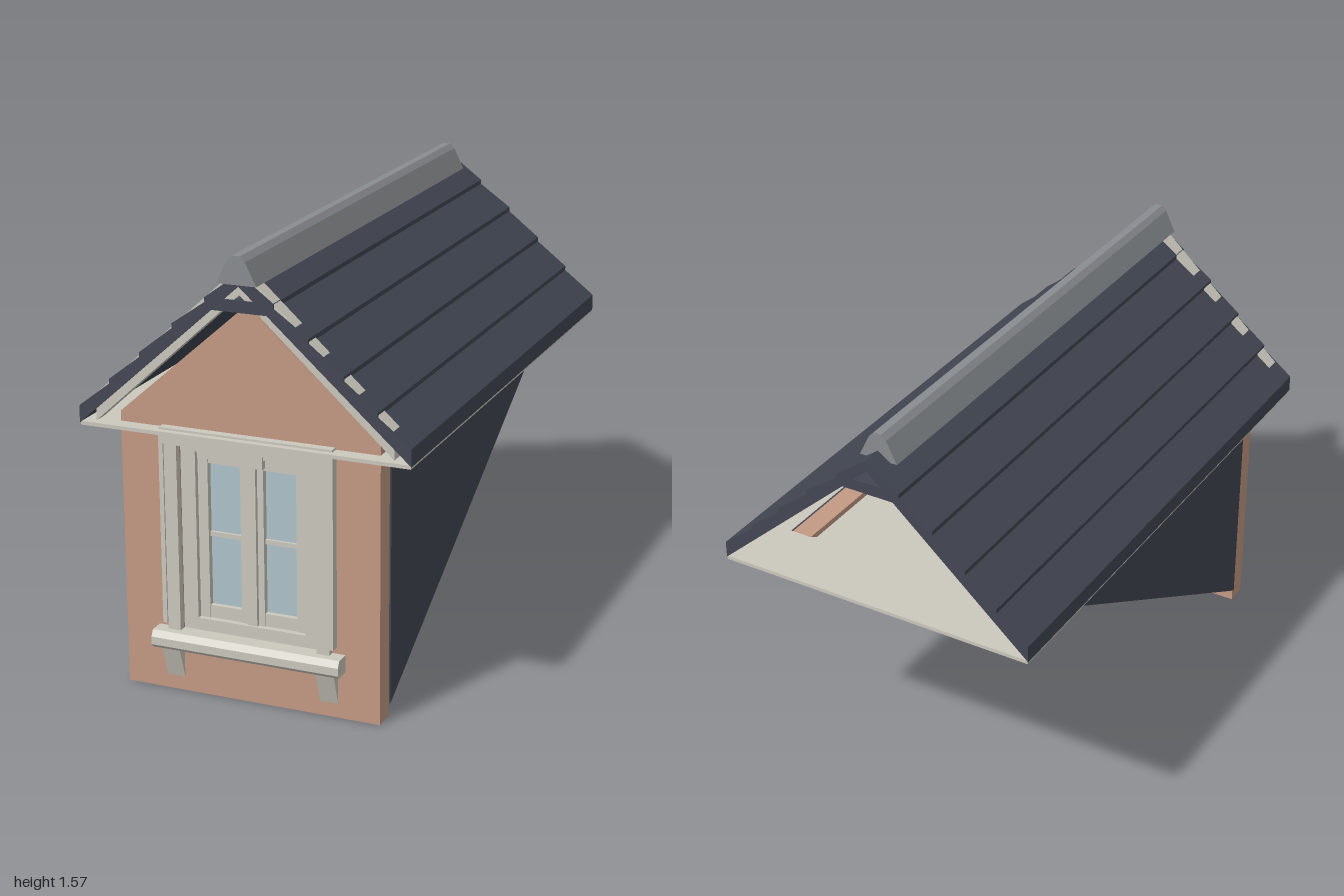
import * as THREE from 'three';

const mat = (name, color) => {
  const m = new THREE.MeshStandardMaterial({ color });
  m.name = name;
  return m;
};

export function createModel() {
  const group = new THREE.Group();
  group.name = 'dormer';
  const plaster = mat('terracotta plaster', 0xc49a84);
  const cream = mat('cream paint', 0xcbc8bd);
  const slate = mat('dark slate', 0x434753);
  const lead = mat('grey ridge', 0x898c90);
  const glass = mat('pale blue glass', 0xb0c3cb);

  const add = (name, geo, material) => {
    const mesh = new THREE.Mesh(geo, material);
    mesh.name = name;
    group.add(mesh);
    return mesh;
  };
  // box given by its limits
  const box = (name, material, x0, x1, y0, y1, z0, z1) => {
    const g = new THREE.BoxGeometry(x1 - x0, y1 - y0, z1 - z0);
    g.translate((x0 + x1) / 2, (y0 + y1) / 2, (z0 + z1) / 2);
    return add(name, g, material);
  };
  const pair = (name, material, x0, x1, ...rest) => {
    box(name + 'Left', material, x0, x1, ...rest);
    box(name + 'Right', material, -x1, -x0, ...rest);
  };
  const shape = (pts) => new THREE.Shape(pts.map(([x, y]) => new THREE.Vector2(x, y)));
  // right half of an outline, mirrored over x = 0
  const mirrored = (pts) => shape([...pts, ...pts.filter((p) => p[0] > 0).reverse().map(([x, y]) => [-x, y])]);
  const alongZ = (name, material, s, z0, z1) => {
    const g = new THREE.ExtrudeGeometry(s, { depth: z1 - z0, bevelEnabled: false });
    g.translate(0, 0, z0);
    return add(name, g, material);
  };
  // outline in (z, y), extruded from x0 to x1
  const alongX = (name, material, pts, x0, x1) => {
    const g = new THREE.ExtrudeGeometry(shape(pts), { depth: x1 - x0, bevelEnabled: false });
    g.rotateY(-Math.PI / 2);
    g.translate(x1, 0, 0);
    return add(name, g, material);
  };

  // gable wall with window opening
  const wall = mirrored([[0.465, 0], [0.465, 0.98], [0, 1.39]]);
  wall.holes.push(new THREE.Path([[-0.25, 0.23], [-0.25, 0.92], [0.25, 0.92], [0.25, 0.23]]
    .map(([x, y]) => new THREE.Vector2(x, y))));
  alongZ('gableWall', plaster, wall, 0.85, 0.93);

  // triangular cheeks with slate cladding
  const cheek = [[0.85, 0.045], [0.85, 0.965], [-0.79, 0.965]];
  for (const [side, s] of [['Left', 1], ['Right', -1]]) {
    const span = (a, b) => (s > 0 ? [a, b] : [-b, -a]);
    alongX('cheekWall' + side, plaster, cheek, ...span(0.39, 0.464));
    alongX('cheekCladding' + side, slate, cheek, ...span(0.464, 0.471));
  }

  // stepped roof: five courses per side
  const lips = [0.59, 0.475, 0.36, 0.24, 0.12];
  const lipY = [1.0, 1.105, 1.21, 1.32, 1.42];
  const roof = [[0.59, 0.94]];
  lips.forEach((x, i) => {
    if (i) roof.push([x, lipY[i] - 0.016]);
    roof.push([x, lipY[i]]);
  });
  roof.push([0, 1.508]);
  const half = roof.filter((p) => p[0] > 0).reverse().map(([x, y]) => [-x, y]);
  alongZ('slateRoof', slate, shape([...roof, ...half, [0, 1.467]]), -1, 0.985);
  alongZ('collarBeam', slate, mirrored([[0.1, 1.38], [0.055, 1.42]]), -0.998, 0.984);

  // bargeboard following the slope, just showing through the courses
  alongZ('bargeboard', cream, shape([
    [0.53, 0.953], [0.53, 1.046], [0, 1.529], [-0.53, 1.046], [-0.53, 0.953], [0, 1.437],
  ]), 0.925, 0.978);
  box('soffit', cream, -0.588, 0.588, 0.932, 0.945, -1, 0.983);

  // ridge capping
  alongZ('ridgeCap', lead, mirrored([[0.07, 1.475], [0.032, 1.552], [0.014, 1.57]]), -0.93, 1);

  // window casing
  pair('casingPost', cream, 0.25, 0.296, 0.23, 0.932, 0.93, 0.956);
  pair('casingEdge', cream, 0.296, 0.312, 0.255, 0.932, 0.93, 0.962);
  box('casingHead', cream, -0.31, 0.31, 0.895, 0.952, 0.93, 0.96);

  // recessed frame
  pair('frameJamb', cream, 0.197, 0.25, 0.23, 0.92, 0.84, 0.925);
  box('frameHead', cream, -0.197, 0.197, 0.87, 0.92, 0.84, 0.925);
  box('frameFoot', cream, -0.197, 0.197, 0.23, 0.275, 0.84, 0.925);
  box('transom', cream, -0.197, 0.197, 0.842, 0.87, 0.85, 0.91);
  box('transomBlock', cream, -0.05, 0.05, 0.84, 0.893, 0.9, 0.932);
  box('mullion', cream, -0.018, 0.018, 0.275, 0.842, 0.85, 0.918);

  // two casements with glass
  pair('sashInnerStile', cream, 0.02, 0.042, 0.275, 0.842, 0.86, 0.908);
  pair('sashOuterStile', cream, 0.16, 0.196, 0.275, 0.842, 0.86, 0.908);
  pair('sashTopRail', cream, 0.042, 0.16, 0.828, 0.842, 0.86, 0.904);
  pair('sashBottomRail', cream, 0.042, 0.16, 0.275, 0.32, 0.86, 0.904);
  pair('glazingBar', cream, 0.042, 0.16, 0.567, 0.583, 0.868, 0.896);
  pair('glass', glass, 0.042, 0.16, 0.32, 0.828, 0.878, 0.886);

  // sill on two tapered brackets
  alongX('sill', cream, [[0.9, 0.17], [0.985, 0.17], [0.995, 0.182], [0.995, 0.21], [0.982, 0.232], [0.9, 0.232]], -0.342, 0.342);
  for (const x of [-0.283, 0.283])
    alongX('sillBracket', cream, [[0.93, 0.05], [0.97, 0.17], [0.93, 0.17]], x - 0.033, x + 0.033);

  // dark panel hanging behind the window
  box('backPanel', slate, -0.25, 0.25, 0.235, 0.932, 0.495, 0.508);

  return group;
}
